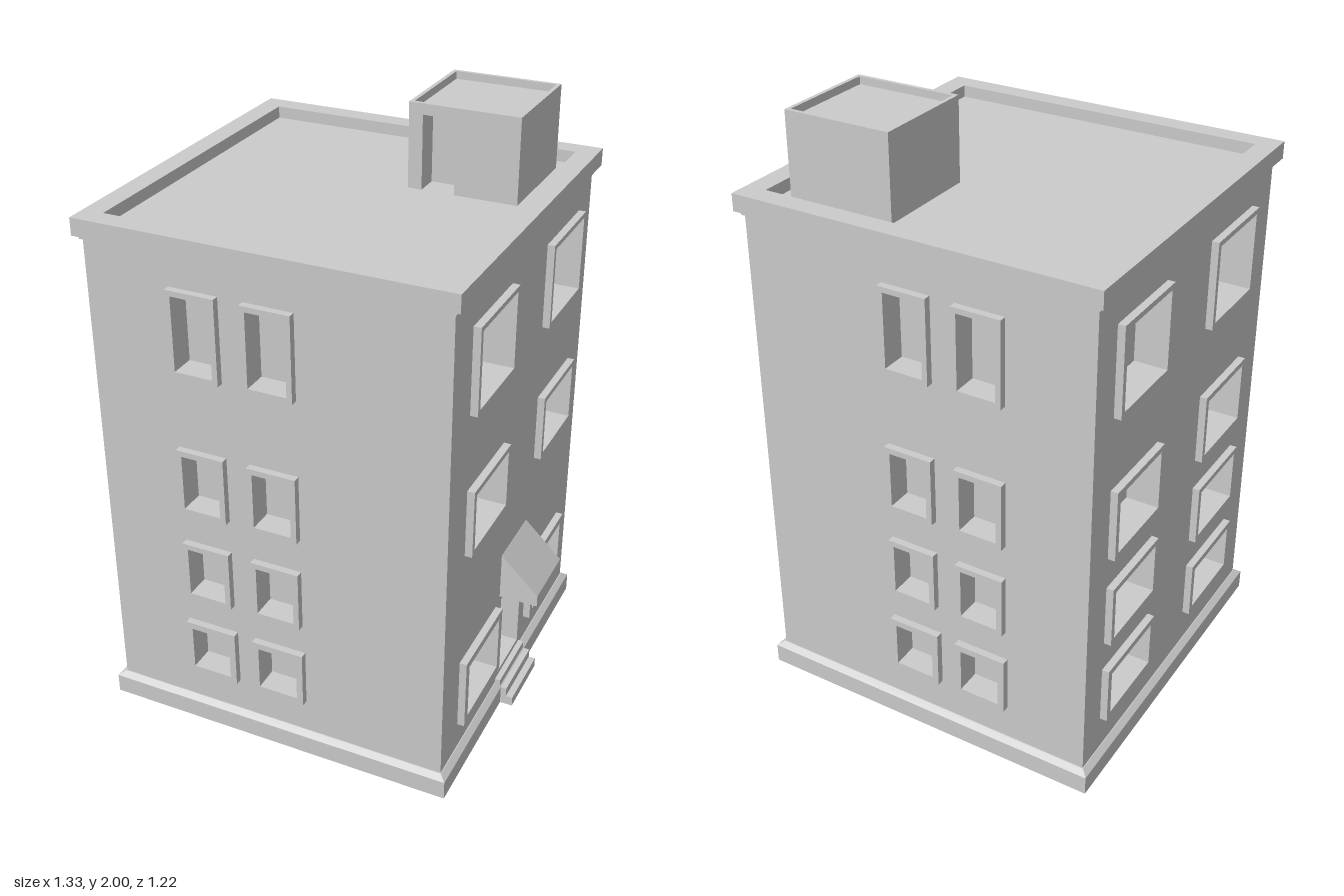
import * as THREE from 'three';

const grey = new THREE.MeshStandardMaterial({ color: 0xcccccc, flatShading: true });
const CX = -0.053; // centre of the building in x
const HALF = 0.587; // half width of the square body
const TOP = 1.7;

function add(parent, name, geometry, x = 0, y = 0, z = 0) {
  const mesh = new THREE.Mesh(geometry, grey);
  mesh.name = name;
  mesh.position.set(x, y, z);
  parent.add(mesh);
  return mesh;
}

const box = (w, h, d) => new THREE.BoxGeometry(w, h, d);

// Rectangle outline centred on (x, y)
function rect(x, y, w, h, Type = THREE.Shape) {
  const p = [[-1, -1], [1, -1], [1, 1], [-1, 1]].map(([a, b]) => new THREE.Vector2(x + a * w / 2, y + b * h / 2));
  return new Type(p);
}

// Flat panel with rectangular holes, thickness along +z
function panel(outer, holes, depth) {
  const shape = rect(...outer);
  for (const h of holes) shape.holes.push(rect(...h, THREE.Path));
  return new THREE.ExtrudeGeometry(shape, { depth, bevelEnabled: false });
}

// Wall with recessed openings and projecting window frames; local +z points outward
function buildWall(name, angle, width, depth, columns, rows, door) {
  const wall = new THREE.Group();
  wall.name = name;
  wall.position.x = CX;
  wall.rotation.y = angle;
  const holes = door ? [door] : [];
  for (const [y0, y1, w, edge] of rows) {
    for (const u of columns) {
      const outer = [u, (y0 + y1) / 2, w, y1 - y0];
      const inner = [outer[0], outer[1], w - 2 * edge, y1 - y0 - 2 * edge];
      holes.push(inner);
      add(wall, 'windowFrame', panel(outer, [inner], 0.024), 0, 0, HALF);
    }
  }
  add(wall, 'wallPanel', panel([0, (TOP + 0.02) / 2, width, TOP - 0.02], holes, depth), 0, 0, HALF - depth);
  return wall;
}

export function createModel() {
  const model = new THREE.Group();
  model.name = 'apartmentBuilding';

  // Walls around a solid core that closes the window recesses
  const dFront = 0.06, dSide = 0.085;
  const sideWidth = 2 * (HALF - dFront);
  add(model, 'core', box(2 * (HALF - dSide), TOP - 0.02, sideWidth), CX, (TOP + 0.02) / 2, 0);
  // rows: bottom, top, width, frame thickness
  const narrow = [[0.2, 0.398, 0.18, 0.022], [0.503, 0.712, 0.166, 0.019], [0.83, 1.058, 0.165, 0.019], [1.315, 1.597, 0.163, 0.018]];
  const wide = [[0.175, 0.425, 0.315, 0.026], [0.83, 1.06, 0.303, 0.018], [1.315, 1.597, 0.308, 0.016]];
  const wideLeft = [[0.2, 0.4, 0.315, 0.022], [0.502, 0.714, 0.305, 0.019], [0.822, 1.063, 0.305, 0.019], [1.308, 1.603, 0.308, 0.018]];
  model.add(
    buildWall('frontWall', 0, 2 * HALF, dFront, [-0.222, 0.023], narrow),
    buildWall('backWall', Math.PI, 2 * HALF, dFront, [0.222, -0.023], narrow),
    buildWall('leftWall', Math.PI / 2, sideWidth, dSide, [0.318, -0.297], wide, [0.01, 0.265, 0.195, 0.31]),
    buildWall('rightWall', -Math.PI / 2, sideWidth, dSide, [-0.322, 0.288], wideLeft)
  );

  // Plinth with a sloped upper edge
  add(model, 'plinth', box(1.22, 0.066, 1.22), CX, 0.033, 0);
  const slope = new THREE.CylinderGeometry(0.59 * Math.SQRT2, 0.61 * Math.SQRT2, 0.014, 4);
  slope.rotateY(Math.PI / 4);
  add(model, 'plinthSlope', slope, CX, 0.073, 0);

  // Roof slab and raised parapet ring
  add(model, 'roofSlab', box(1.19, 0.03, 1.19), CX, TOP + 0.01, 0);
  const ring = panel([0, 0, 1.22, 1.22], [[0, 0, 1.08, 1.08]], 0.057);
  ring.rotateX(-Math.PI / 2);
  add(model, 'parapet', ring, CX, 1.708, 0);

  // Stairwell hut on the roof: shell, open doorway and sunken roof
  const hut = new THREE.Group();
  hut.name = 'roofHut';
  hut.position.set(0.265, 0, -0.298);
  model.add(hut);
  const w = 0.36, base = 1.715, h = 2 - base, dDoor = 0.08;
  add(hut, 'hutFront', panel([0, base + h / 2, w, h], [[-0.08, 1.845, 0.108, 0.24]], dDoor), 0, 0, w / 2 - dDoor);
  add(hut, 'hutBody', box(w, h - 0.025, w - dDoor), 0, base + (h - 0.025) / 2, -dDoor / 2);
  const rim = panel([0, 0, w, w], [[0, 0, w - 0.026, w - 0.026]], 0.025);
  rim.rotateX(-Math.PI / 2);
  // The sunken roof covers the hut up to its front rim
  hut.children[0].geometry.dispose();
  hut.children[0].geometry = panel([0, base + (h - 0.025) / 2, w, h - 0.025], [[-0.08, 1.845, 0.108, 0.24]], dDoor);
  add(hut, 'hutRim', rim, 0, 1.975, 0);

  // Entrance steps
  const zDoor = -0.01;
  [[0.6, 0.034], [0.577, 0.066], [0.553, 0.094]].forEach(([x, y]) =>
    add(model, 'entranceStep', box(x - 0.52, y, 0.232), (x + 0.52) / 2, y / 2, zDoor));

  // Sloped canopy over the door
  const profile = new THREE.Shape([[0.53, 0.445], [0.663, 0.445], [0.663, 0.485], [0.535, 0.608], [0.53, 0.608]]
    .map(([x, y]) => new THREE.Vector2(x, y)));
  add(model, 'doorCanopy', new THREE.ExtrudeGeometry(profile, { depth: 0.23, bevelEnabled: false }), 0, 0, zDoor - 0.115);

  return model;
}
